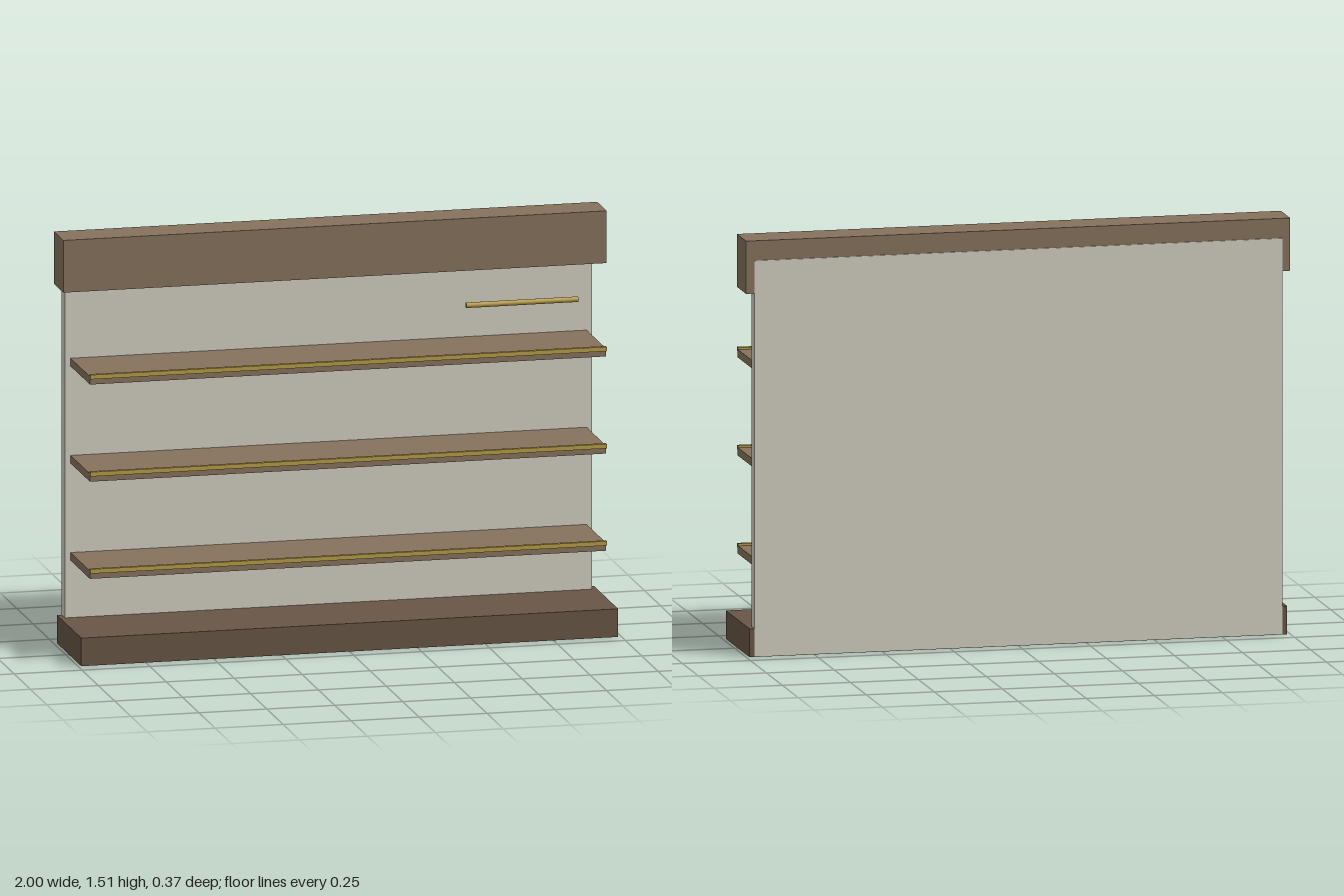
import * as THREE from 'three';

export function createModel() {
  const group = new THREE.Group();
  const material = (color) => new THREE.MeshStandardMaterial({ color });
  const wood = material(0x87725d);
  const darkWood = material(0x695646);
  const plaster = material(0xd3cfc2);
  const brass = material(0xb89d48);

  // Box given by its width and its y and z ranges, centred on x = 0
  function slab(name, width, [y0, y1], [z0, z1], mat) {
    const mesh = new THREE.Mesh(new THREE.BoxGeometry(width, y1 - y0, z1 - z0), mat);
    mesh.position.set(0, (y0 + y1) / 2, (z0 + z1) / 2);
    mesh.name = name;
    group.add(mesh);
  }

  slab('base', 1.976, [0, 0.103], [-0.185, 0.188], darkWood);
  slab('backPanel', 1.94, [0.001, 1.442], [-0.186, -0.136], plaster);
  slab('header', 2, [1.322, 1.514], [-0.182, -0.037], wood);

  // Shelves with a brass strip along the top front edge
  for (const top of [0.342, 0.699, 1.056]) {
    slab('shelf', 1.9, [top - 0.029, top], [-0.136, 0.163], wood);
    slab('shelfTrim', 1.9, [top - 0.008, top + 0.008], [0.156, 0.172], brass);
  }

  // Short hanging rail
  const rail = new THREE.Mesh(new THREE.CylinderGeometry(0.01, 0.01, 0.412, 16), brass);
  rail.rotation.z = Math.PI / 2;
  rail.position.set(0.66, 1.223, 0.08);
  rail.name = 'hangingRail';
  group.add(rail);

  return group;
}
